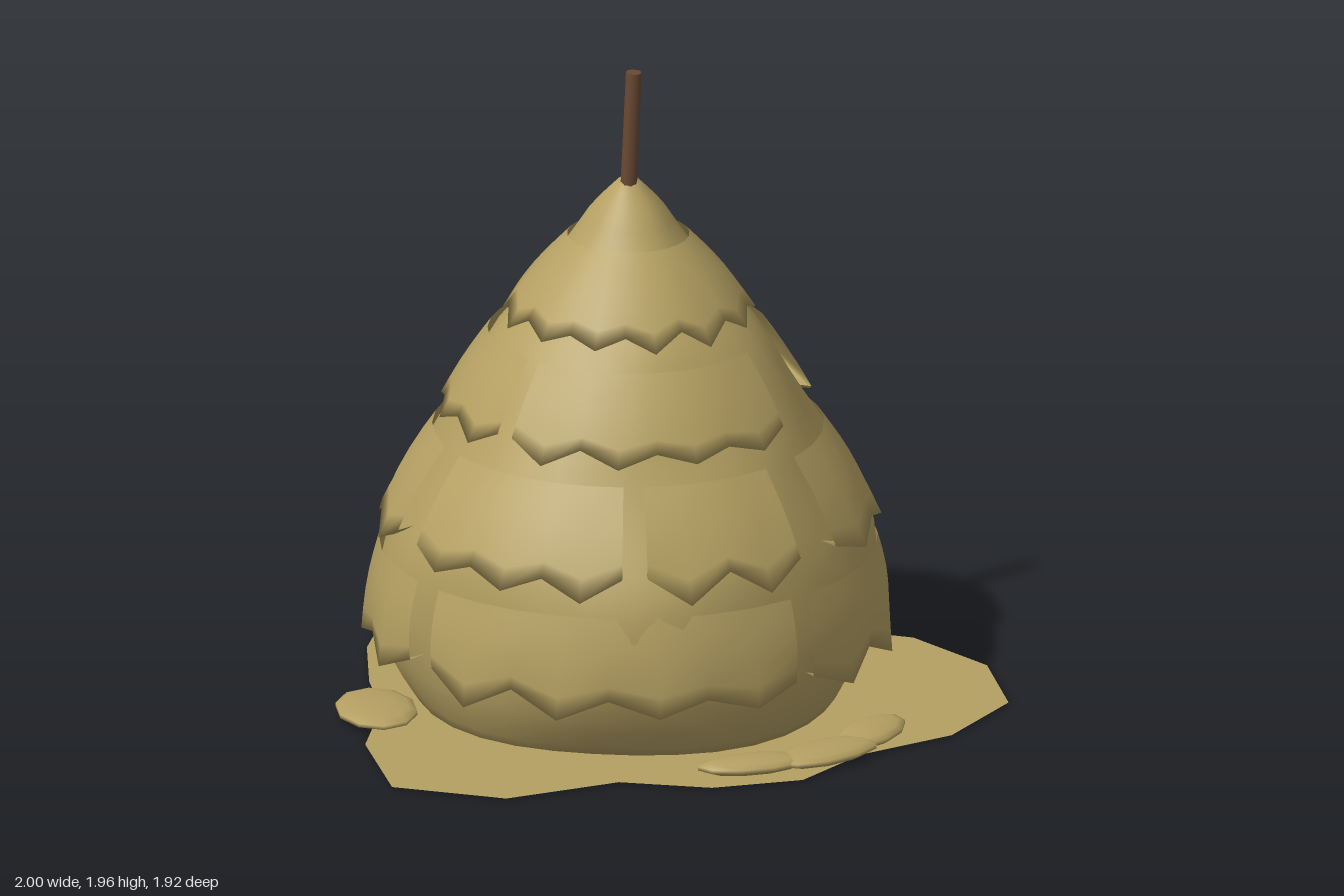
import * as THREE from 'three';

const CX = -0.085, CZ = 0.01;
const RAD = Math.PI / 180;

export function createModel() {
  const model = new THREE.Group();
  const straw = new THREE.MeshStandardMaterial({ color: 0xb5a062, side: THREE.DoubleSide });
  straw.name = 'straw';
  const wood = new THREE.MeshStandardMaterial({ color: 0x6b4a33 });
  wood.name = 'wood';

  const add = (name, geometry, material, parent = model) => {
    const mesh = new THREE.Mesh(geometry, material);
    mesh.name = name;
    parent.add(mesh);
    return mesh;
  };

  // Stack body: a closed lathed mound with gentle lumps
  const profile = new THREE.SplineCurve([
    [0.63, 0], [0.70, 0.12], [0.74, 0.28], [0.735, 0.45], [0.695, 0.6], [0.59, 0.8],
    [0.525, 0.92], [0.405, 1.14], [0.29, 1.27], [0.165, 1.44], [0.105, 1.53], [0.03, 1.61],
  ].map(([r, y]) => new THREE.Vector2(r, y))).getPoints(28);
  profile.unshift(new THREE.Vector2(0, 0));
  profile.push(new THREE.Vector2(0, 1.618));
  const body = new THREE.LatheGeometry(profile, 32, Math.PI);
  const bp = body.attributes.position;
  for (let i = 0; i < bp.count; i++) {
    const x = bp.getX(i), y = bp.getY(i), z = bp.getZ(i);
    const a = Math.atan2(x, z);
    const s = 1 + 0.016 * Math.sin(3 * a + 5 * y) + 0.013 * Math.sin(5 * a - 9 * y);
    bp.setXYZ(i, x * s, y, z * s);
  }
  body.computeVertexNormals();
  add('stackBody', body, straw).position.set(CX, 0, CZ);

  // Straw skirts: angular bands with a ragged zigzag hem that rolls back under
  // Angles run from the front (+z) towards the left (+x), in degrees
  const skirt = (name, { top, hem, rTop, rHem, teeth, depth, bulge, spans }) => {
    const group = new THREE.Group();
    group.name = name;
    group.position.set(CX, 0, CZ);
    const rows = 6;
    spans.forEach(([from, to]) => {
      const n = Math.max(1, Math.round(teeth * (to - from) / 360));
      const g = new THREE.PlaneGeometry(1, 1, n * 2, rows);
      const p = g.attributes.position;
      for (let i = 0; i < p.count; i++) {
        const u = p.getX(i) + 0.5;
        const row = Math.round((0.5 - p.getY(i)) * rows);
        const t = Math.min(row / (rows - 1), 1);
        const tip = Math.round(u * n * 2) % 2 ? 1 : -1;
        const a = (from + (to - from) * u) * RAD;
        const wobble = Math.sin(a * 3 + top * 9) * 0.35 + 1;
        let r = rTop + (rHem - rTop) * t + bulge * Math.sin(Math.PI * t) + 0.012 * tip * t * t;
        let y = top + (hem - top) * t - depth * wobble * tip * t * t;
        // last row is the underside, tucked into the body
        if (row === rows) { r -= 0.075; y += 0.012; }
        p.setXYZ(i, r * Math.sin(a), y, r * Math.cos(a));
      }
      g.computeVertexNormals();
      add('strawBand', g, straw, group);
    });
    model.add(group);
  };
  skirt('topSkirt', {
    top: 1.44, hem: 1.21, rTop: 0.183, rHem: 0.37, teeth: 13, depth: 0.022, bulge: 0.012,
    spans: [[-180, 180]],
  });
  skirt('upperSkirt', {
    top: 1.14, hem: 0.91, rTop: 0.42, rHem: 0.56, teeth: 15, depth: 0.022, bulge: 0.008,
    spans: [[-52, 45], [82, 138], [165, 302]],
  });
  skirt('middleSkirt', {
    top: 0.84, hem: 0.56, rTop: 0.585, rHem: 0.745, teeth: 16, depth: 0.032, bulge: 0.012,
    spans: [[-72, -14], [-8, 32], [45, 118], [134, 205], [215, 278]],
  });
  skirt('lowerSkirt', {
    top: 0.48, hem: 0.2, rTop: 0.745, rHem: 0.785, teeth: 15, depth: 0.03, bulge: 0.012,
    spans: [[-62, 28], [33, 128], [142, 212], [220, 290]],
  });

  // Pole standing out of the peak, slightly tilted
  const from = new THREE.Vector3(-0.09, 1.5, 0.022), to = new THREE.Vector3(-0.074, 1.955, 0.035);
  const dir = to.clone().sub(from);
  const pole = add('pole', new THREE.CylinderGeometry(0.024, 0.026, dir.length(), 8), wood);
  pole.position.copy(from).lerp(to, 0.5);
  pole.quaternion.setFromUnitVectors(new THREE.Vector3(0, 1, 0), dir.normalize());

  // Scattered straw on the ground: a ragged flat sheet
  const sheet = new THREE.Shape([
    [-0.04, -0.95], [0.29, -0.965], [0.44, -0.66], [0.62, -0.36], [0.84, -0.23], [1, 0.06],
    [0.99, 0.4], [0.76, 0.65], [0.46, 0.76], [0.24, 0.945], [-0.04, 0.955], [-0.3, 0.845],
    [-0.66, 0.915], [-0.97, 0.74], [-0.965, 0.35], [-0.85, 0.05], [-0.83, -0.2], [-0.77, -0.5],
    [-0.65, -0.78],
  ].map(([x, z]) => new THREE.Vector2(x, -z)));
  const ground = add('groundStraw', new THREE.ShapeGeometry(sheet), straw);
  ground.rotation.x = -Math.PI / 2;
  ground.position.y = 0.006;

  // Loose clumps around the base: x, z, half length, half width, turn
  [
    [-0.875, 0.1, 0.18, 0.125, 85],
    [0.55, -0.51, 0.19, 0.1, -55],
    [0.11, 0.825, 0.17, 0.075, 3],
    [0.35, 0.77, 0.19, 0.09, 25],
    [0.52, 0.62, 0.16, 0.085, 50],
  ].forEach(([x, z, length, width, turn]) => {
    const clump = add('looseClump', new THREE.SphereGeometry(1, 10, 7), straw);
    clump.scale.set(length, 0.026, width);
    clump.rotation.y = turn * RAD;
    clump.position.set(x, 0.026, z);
  });

  return model;
}
